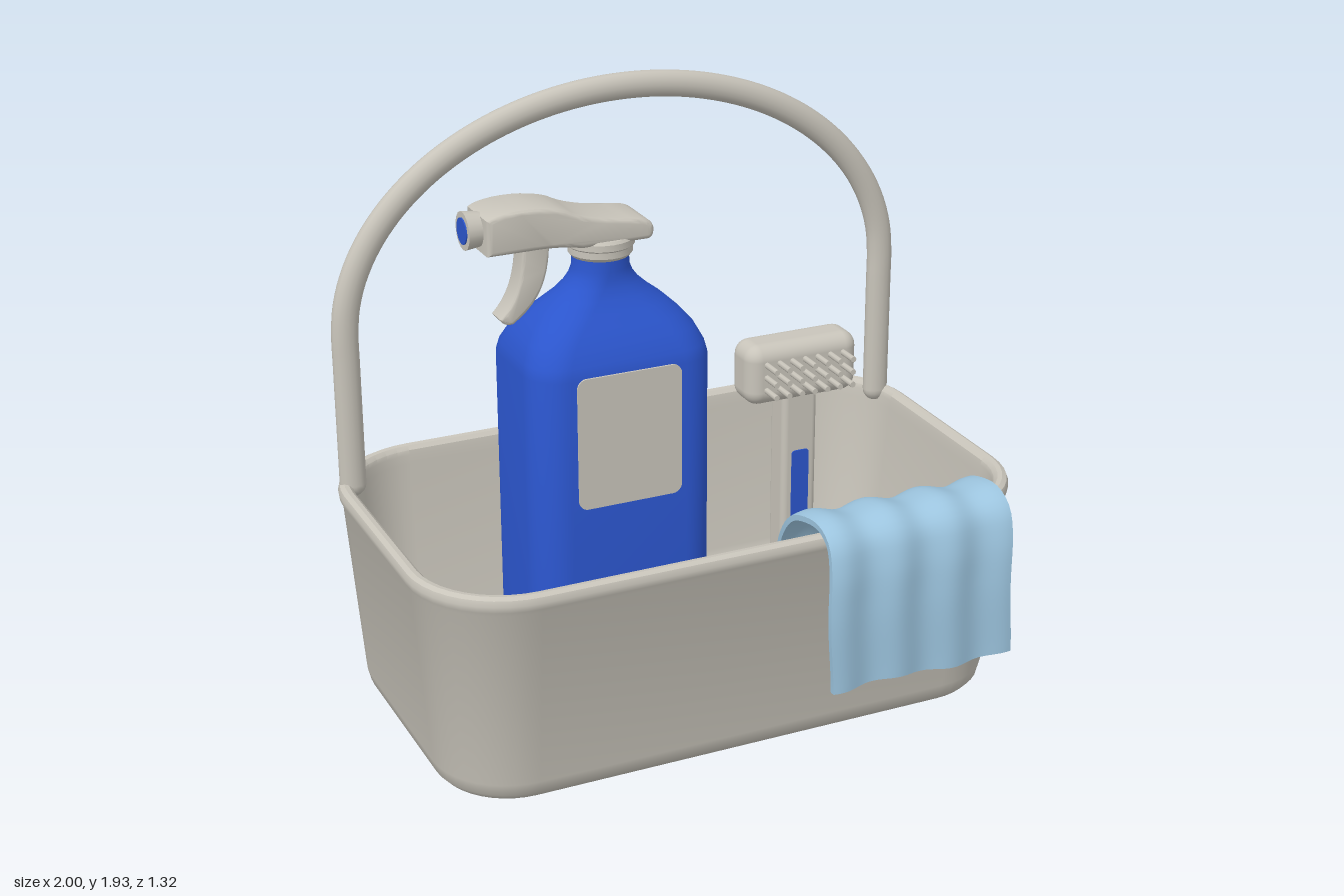
import * as THREE from 'three';
import { toCreasedNormals } from 'three/addons/utils/BufferGeometryUtils.js';
import { RoundedBoxGeometry } from 'three/addons/geometries/RoundedBoxGeometry.js';

const material = (name, color, side = THREE.FrontSide) => {
  const m = new THREE.MeshStandardMaterial({ color, side });
  m.name = name;
  return m;
};

// Closed loft through horizontal rounded rectangles: { hx, hz, r, y }
function loft(sections, n = 10) {
  const pos = [], index = [], count = 4 * (n + 1);
  for (const { hx, hz, r, y } of sections) {
    for (let q = 0; q < 4; q++) {
      const sx = q === 0 || q === 3 ? 1 : -1, sz = q < 2 ? 1 : -1;
      for (let i = 0; i <= n; i++) {
        const a = (q + i / n) * Math.PI / 2;
        pos.push(sx * (hx - r) + r * Math.cos(a), y, sz * (hz - r) + r * Math.sin(a));
      }
    }
  }
  const last = sections.length - 1, base = sections.length * count;
  pos.push(0, sections[0].y, 0, 0, sections[last].y, 0);
  for (let j = 0; j < count; j++) {
    const k = (j + 1) % count;
    for (let i = 0; i < last; i++) {
      const a = i * count + j, b = i * count + k;
      index.push(a, a + count, b, b, a + count, b + count);
    }
    index.push(base, j, k, base + 1, last * count + k, last * count + j);
  }
  const g = new THREE.BufferGeometry();
  g.setAttribute('position', new THREE.Float32BufferAttribute(pos, 3));
  g.setIndex(index);
  return toCreasedNormals(g, 0.6);
}

// Bevelled side profile, centred on z = 0
function slab(shape, depth, bevel) {
  const g = new THREE.ExtrudeGeometry(shape, {
    depth: depth - 2 * bevel, bevelSize: bevel, bevelThickness: bevel,
    bevelOffset: -bevel, bevelSegments: 3, curveSegments: 10,
  });
  g.translate(0, 0, bevel - depth / 2);
  return toCreasedNormals(g, 0.6);
}

function roundedRect(w, h, r) {
  const s = new THREE.Shape(), x = w / 2, y = h / 2;
  s.absarc(x - r, y - r, r, 0, Math.PI / 2);
  s.absarc(-x + r, y - r, r, Math.PI / 2, Math.PI);
  s.absarc(-x + r, -y + r, r, Math.PI, Math.PI * 1.5);
  s.absarc(x - r, -y + r, r, Math.PI * 1.5, Math.PI * 2);
  return s;
}

export function createModel() {
  const model = new THREE.Group();
  model.name = 'cleaningCaddy';
  const plastic = material('warm grey plastic', 0xc8c4ba);
  const blue = material('blue plastic', 0x2b55cc);
  const fabric = material('light blue fabric', 0x9cc4de, THREE.DoubleSide);

  const add = (parent, name, geometry, mat, x = 0, y = 0, z = 0) => {
    const mesh = new THREE.Mesh(geometry, mat);
    mesh.name = name;
    mesh.position.set(x, y, z);
    parent.add(mesh);
    return mesh;
  };
  const group = (name, x = 0, z = 0) => {
    const g = new THREE.Group();
    g.name = name;
    g.position.set(x, 0, z);
    model.add(g);
    return g;
  };

  // Tub: outer wall, rolled rim, inner wall and floor as [inset, height]
  const wall = [[0.12, 0], [0.09, 0.008], [0.07, 0.03], [0.06, 0.07], [0.012, 0.66], [0.003, 0.675],
    [0, 0.695], [0.006, 0.712], [0.02, 0.72], [0.035, 0.718], [0.047, 0.706], [0.05, 0.69],
    [0.052, 0.66], [0.1, 0.15], [0.11, 0.11], [0.14, 0.08]];
  add(model, 'tub', loft(wall.map(([o, y]) => ({ hx: 1 - o, hz: 0.605 - o, r: 0.31 - o, y }))),
    plastic, 0, 0, -0.055);

  // Carrying handle: two uprights and an elliptical arch
  const handle = group('handle', 0, -0.437);
  handle.scale.z = 0.8;
  const path = [];
  for (const y of [0.71, 0.85, 1.0, 1.12]) path.push(new THREE.Vector3(-0.937, y, 0));
  for (let i = 0; i <= 24; i++) {
    const a = Math.PI * (1 - i / 24);
    path.push(new THREE.Vector3(0.937 * Math.cos(a), 1.2 + 0.688 * Math.sin(a), 0));
  }
  for (const y of [1.12, 1.0, 0.85, 0.71]) path.push(new THREE.Vector3(0.937, y, 0));
  add(handle, 'handleArch', new THREE.TubeGeometry(new THREE.CatmullRomCurve3(path), 120, 0.043, 16), plastic);
  for (const s of [-1, 1]) {
    add(handle, 'handleEnd', new THREE.SphereGeometry(0.043, 16, 10), plastic, s * 0.937, 0.71, 0);
  }

  // Spray bottle
  const bottle = group('sprayBottle', -0.275, 0.018);
  const body = [[0.27, 0.185, 0.09, 0.08], [0.295, 0.21, 0.11, 0.11], [0.295, 0.21, 0.11, 1.215],
    [0.288, 0.2, 0.11, 1.25], [0.265, 0.175, 0.11, 1.3], [0.232, 0.15, 0.11, 1.34],
    [0.195, 0.126, 0.11, 1.375], [0.15, 0.104, 0.1, 1.41], [0.117, 0.091, 0.09, 1.44],
    [0.098, 0.086, 0.085, 1.465], [0.088, 0.085, 0.085, 1.49], [0.085, 0.085, 0.085, 1.54]];
  add(bottle, 'bottleBody', loft(body.map(([hx, hz, r, y]) => ({ hx, hz, r, y }))), blue);
  add(bottle, 'label', new THREE.ExtrudeGeometry(roundedRect(0.337, 0.42, 0.03),
    { depth: 0.008, bevelEnabled: false }), plastic, 0, 1.01, 0.207);
  const collar = [[0, 1.525], [0.09, 1.525], [0.098, 1.535], [0.098, 1.555], [0.104, 1.56],
    [0.104, 1.58], [0.098, 1.588], [0, 1.588]].map(([x, y]) => new THREE.Vector2(x, y));
  add(bottle, 'collar', toCreasedNormals(new THREE.LatheGeometry(collar, 24), 0.6), plastic);

  // Spray head, trigger and nozzle
  const head = new THREE.Shape();
  head.moveTo(-0.385, 1.59);
  head.lineTo(-0.385, 1.7);
  head.bezierCurveTo(-0.35, 1.725, -0.22, 1.73, -0.14, 1.7);
  head.bezierCurveTo(-0.08, 1.665, 0, 1.655, 0.09, 1.645);
  head.quadraticCurveTo(0.14, 1.635, 0.14, 1.605);
  head.quadraticCurveTo(0.14, 1.575, 0.115, 1.575);
  head.lineTo(-0.09, 1.575);
  head.quadraticCurveTo(-0.16, 1.592, -0.25, 1.59);
  head.closePath();
  add(bottle, 'sprayHead', slab(head, 0.175, 0.015), plastic);
  const trigger = new THREE.Shape();
  trigger.moveTo(-0.26, 1.61);
  trigger.lineTo(-0.175, 1.61);
  trigger.bezierCurveTo(-0.175, 1.48, -0.21, 1.41, -0.295, 1.355);
  trigger.quadraticCurveTo(-0.325, 1.352, -0.335, 1.375);
  trigger.bezierCurveTo(-0.28, 1.43, -0.26, 1.5, -0.26, 1.61);
  add(bottle, 'trigger', slab(trigger, 0.08, 0.01), plastic);
  const nozzle = new THREE.CylinderGeometry(0.058, 0.05, 0.06, 20).rotateZ(Math.PI / 2);
  add(bottle, 'nozzle', nozzle, plastic, -0.4, 1.654, 0);
  const tip = new THREE.CylinderGeometry(0.04, 0.04, 0.006, 20).rotateZ(Math.PI / 2);
  add(bottle, 'nozzleTip', tip, blue, -0.431, 1.654, 0);

  // Scrubbing brush standing on the tub floor
  const brush = group('brush', 0.512, -0.225);
  add(brush, 'brushHead', new RoundedBoxGeometry(0.4, 0.205, 0.15, 5, 0.05), plastic, 0, 0.947, 0);
  add(brush, 'brushHandle', new RoundedBoxGeometry(0.125, 0.81, 0.1, 4, 0.02), plastic, 0, 0.475, 0);
  add(brush, 'brushGrip', new THREE.ExtrudeGeometry(roundedRect(0.062, 0.42, 0.012),
    { depth: 0.008, bevelEnabled: false }), blue, 0, 0.45, 0.046);
  const bristle = new THREE.CylinderGeometry(0.01, 0.01, 0.09, 8).rotateX(Math.PI / 2);
  for (let row = -1; row <= 1; row++) {
    for (let col = -3; col <= 3; col++) {
      add(brush, 'bristle', bristle, plastic, col * 0.046, 0.947 + row * 0.044, 0.103);
    }
  }

  // Cloth draped over the front rim: a thin box bent along a curve and rippled
  const drape = new THREE.CatmullRomCurve3([[0.22, 0.36], [0.25, 0.49], [0.3, 0.62], [0.38, 0.713],
    [0.46, 0.742], [0.535, 0.744], [0.592, 0.71], [0.622, 0.63], [0.636, 0.5], [0.64, 0.24]]
    .map(([z, y]) => new THREE.Vector3(0, y, z)));
  const cloth = new THREE.BoxGeometry(0.625, 1, 0.018, 48, 48, 1);
  const p = cloth.attributes.position;
  for (let i = 0; i < p.count; i++) {
    const x = p.getX(i), t = THREE.MathUtils.clamp(0.5 - p.getY(i), 0, 1);
    const c = drape.getPointAt(t), d = drape.getTangentAt(t);
    const off = p.getZ(i) + 0.009 * Math.sin((x + 0.3) * 33 + t * 0.8);
    const hem = 0.006 * Math.sin(x * 14) * (2 * t - 1);
    p.setXYZ(i, x + 0.512 + 0.006 * Math.sin(t * 14),
      c.y + d.z * off + d.y * hem, c.z - d.y * off + d.z * hem);
  }
  cloth.computeVertexNormals();
  add(model, 'cloth', cloth, fabric);

  return model;
}
